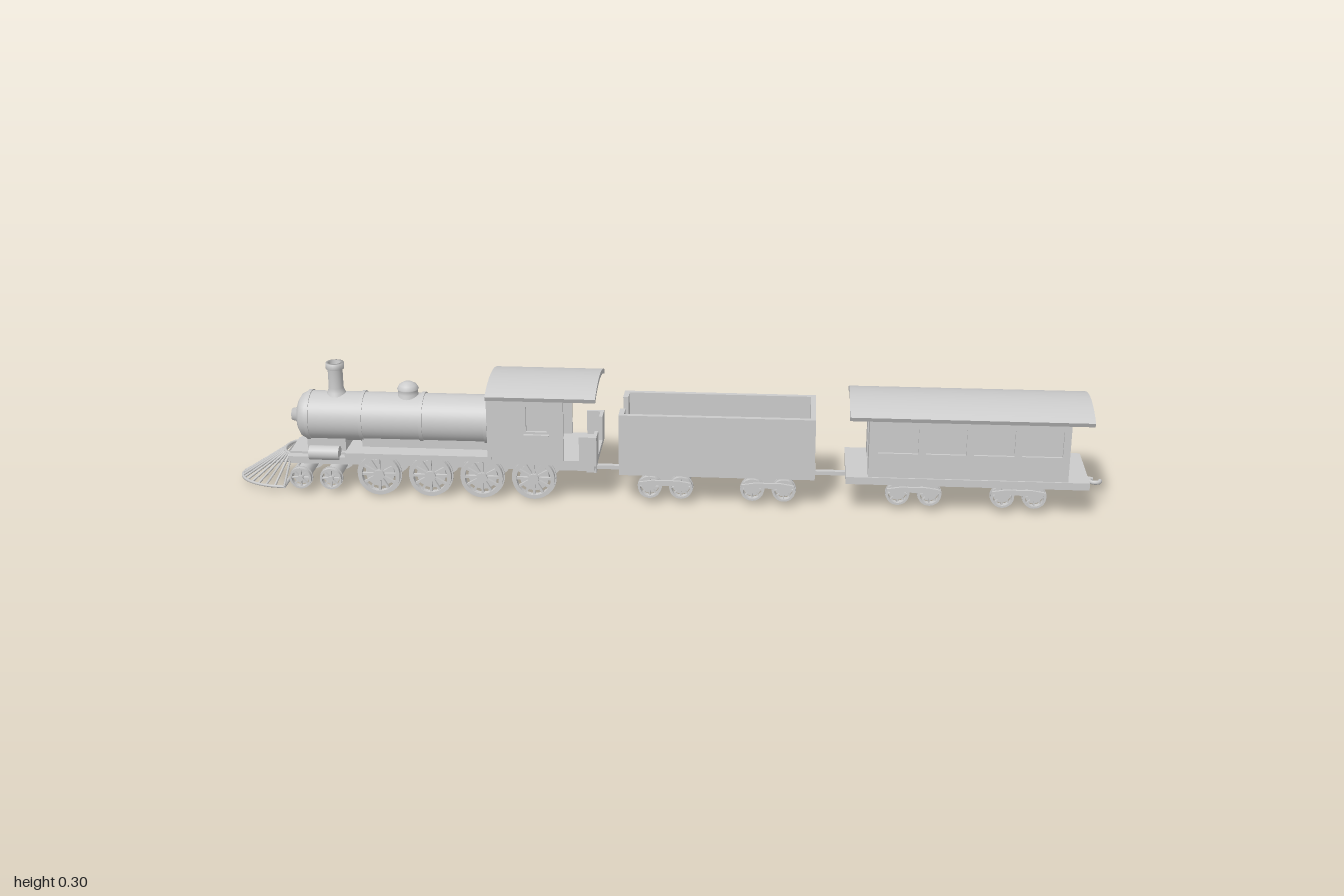
import * as THREE from 'three';

const mat = new THREE.MeshStandardMaterial({ color: 0xcccccc, side: THREE.DoubleSide });
const V = (x, y, z) => new THREE.Vector3(x, y, z);

function add(parent, name, geo, x = 0, y = 0, z = 0) {
  const m = new THREE.Mesh(geo, mat);
  m.name = name;
  m.position.set(x, y, z);
  parent.add(m);
  return m;
}

// Box given by its min and max on every axis
function box(parent, name, x0, x1, y0, y1, z0, z1) {
  return add(parent, name, new THREE.BoxGeometry(x1 - x0, y1 - y0, z1 - z0),
    (x0 + x1) / 2, (y0 + y1) / 2, (z0 + z1) / 2);
}

function rod(parent, name, a, b, r) {
  const d = b.clone().sub(a);
  const m = add(parent, name, new THREE.CylinderGeometry(r, r, d.length(), 6));
  m.position.copy(a).add(b).multiplyScalar(0.5);
  m.quaternion.setFromUnitVectors(V(0, 1, 0), d.normalize());
  return m;
}

function rectPath(x0, x1, y0, y1, P = THREE.Path) {
  return new P([[x0, y0], [x1, y0], [x1, y1], [x0, y1]].map(p => new THREE.Vector2(...p)));
}

const extrude = (shape, depth) =>
  new THREE.ExtrudeGeometry(shape, { depth, bevelEnabled: false, curveSegments: 20 });

// Cross-section in (z, y), swept along +x
const sweepX = (shape, length) => extrude(shape, length).rotateY(Math.PI / 2);

// Arched roof slab between x0 and x1
function archRoof(parent, name, x0, x1, y, w, rise, t) {
  const R = (w * w + rise * rise) / (2 * rise), a = Math.asin(w / R), cy = y + rise - R;
  const s = new THREE.Shape();
  s.absarc(0, cy, R, Math.PI / 2 - a, Math.PI / 2 + a, false);
  s.absarc(0, cy, R + t, Math.PI / 2 + a, Math.PI / 2 - a, true);
  add(parent, name, sweepX(s, x1 - x0), x0);
}

// End wall with a curved top and an optional doorway
function endWall(parent, name, x, t, w, y0, y1, rise, door) {
  const s = new THREE.Shape();
  s.moveTo(-w, y0);
  if (door) {
    s.lineTo(-door.w, y0); s.lineTo(-door.w, door.top);
    s.lineTo(door.w, door.top); s.lineTo(door.w, y0);
  }
  s.lineTo(w, y0);
  s.lineTo(w, y1);
  s.quadraticCurveTo(0, y1 + 2 * rise, -w, y1);
  s.closePath();
  add(parent, name, sweepX(s, t), x);
}

// Spoked wheel facing outward along +z, with an inner flange
function wheel(r, spokes) {
  const g = new THREE.Group();
  g.name = 'wheel';
  const ring = (ro, ri) => {
    const s = new THREE.Shape().absarc(0, 0, ro, 0, Math.PI * 2);
    s.holes.push(new THREE.Path().absarc(0, 0, ri, 0, Math.PI * 2, true));
    return s;
  };
  add(g, 'rim', extrude(ring(r * 0.94, r * 0.76), 0.012), 0, 0, 0.002);
  add(g, 'flange', extrude(ring(r, r * 0.76), 0.003));
  add(g, 'hub', new THREE.CylinderGeometry(r * 0.24, r * 0.24, 0.016, 16).rotateX(Math.PI / 2), 0, 0, 0.008);
  for (let i = 0; i < spokes; i++) {
    const a = i / spokes * Math.PI * 2;
    add(g, 'spoke', new THREE.BoxGeometry(r * 0.65, r * 0.11, 0.007),
      Math.cos(a) * r * 0.5, Math.sin(a) * r * 0.5, 0.007).rotation.z = a;
  }
  return g;
}

function wheelset(parent, x, y, r, axleR, spokes) {
  for (const s of [1, -1]) {
    const w = wheel(r, spokes);
    w.position.set(x, y, s * 0.058);
    if (s < 0) w.rotation.y = Math.PI;
    parent.add(w);
  }
  add(parent, 'axle', new THREE.CylinderGeometry(axleR, axleR, 0.114, 16).rotateX(Math.PI / 2), x, y, 0);
}

// Four-wheel truck
function bogie(parent, x) {
  const g = new THREE.Group();
  g.name = 'bogie';
  for (const dx of [-0.036, 0.036]) wheelset(g, x + dx, 0.04, 0.028, 0.02, 8);
  box(g, 'bolster', x - 0.025, x + 0.025, 0.05, 0.078, -0.05, 0.05);
  const s = new THREE.Shape([[-0.06, 0.055], [-0.045, 0.035], [-0.028, 0.035], [-0.02, 0.048], [0.02, 0.048],
    [0.028, 0.035], [0.045, 0.035], [0.06, 0.055], [0.03, 0.06], [-0.03, 0.06]].map(p => new THREE.Vector2(...p)));
  for (const z of [0.074, -0.08]) add(g, 'sideFrame', extrude(s, 0.006), x, 0, z);
  parent.add(g);
}

function coupler(parent, x0, x1) {
  box(parent, 'drawbar', x0, x1, 0.055, 0.064, -0.006, 0.006);
  for (const x of [x0, x1]) box(parent, 'couplerPocket', x - 0.012, x + 0.012, 0.05, 0.075, -0.018, 0.018);
}

function locomotive() {
  const g = new THREE.Group();
  g.name = 'locomotive';
  // Boiler with domed front, bands, chimney and dome
  const profile = [[0, 0.5], [0.014, 0.5], [0.017, 0.487], [0.036, 0.482], [0.05, 0.474], [0.057, 0.46], [0.057, 0]];
  add(g, 'boiler', new THREE.LatheGeometry(profile.map(p => new THREE.Vector2(...p)), 40).rotateZ(Math.PI / 2), -0.37, 0.17, 0);
  for (const x of [-0.825, -0.7, -0.56, -0.41])
    add(g, 'boilerBand', new THREE.CylinderGeometry(0.0595, 0.0595, 0.008, 40).rotateZ(Math.PI / 2), x, 0.17, 0);
  const lathe = (name, pts, x) =>
    add(g, name, new THREE.LatheGeometry(pts.map(p => new THREE.Vector2(...p)), 28), x, 0, 0);
  lathe('chimney', [[0.027, 0.215], [0.02, 0.23], [0.017, 0.24], [0.017, 0.284], [0.021, 0.286], [0.021, 0.3],
    [0.014, 0.3], [0.013, 0.24], [0, 0.24]], -0.763);
  lathe('steamDome', [[0.028, 0.215], [0.023, 0.23], [0.023, 0.238], [0.025, 0.241], [0.02, 0.25], [0.01, 0.256], [0, 0.257]], -0.595);
  // Chassis, running boards and front saddle
  box(g, 'mainFrame', -0.87, -0.16, 0.065, 0.095, -0.045, 0.045);
  box(g, 'saddle', -0.83, -0.74, 0.09, 0.14, -0.035, 0.035);
  box(g, 'frontDeck', -0.87, -0.72, 0.078, 0.09, -0.065, 0.065);
  box(g, 'firebox', -0.7, -0.38, 0.09, 0.15, -0.04, 0.04);
  const valance = new THREE.Shape([[-0.73, 0.085], [-0.715, 0.085], [-0.69, 0.1], [-0.39, 0.1], [-0.39, 0.112], [-0.73, 0.112]]
    .map(p => new THREE.Vector2(...p)));
  for (const s of [1, -1]) {
    add(g, 'runningBoard', extrude(valance, 0.044), 0, 0, s > 0 ? 0.048 : -0.092);
    add(g, 'pistonCylinder', new THREE.CylinderGeometry(0.017, 0.017, 0.07, 20).rotateZ(Math.PI / 2), -0.785, 0.098, s * 0.057);
    // Cab side with window and rear bunker panel
    const side = rectPath(-0.4, -0.225, 0.1, 0.258, THREE.Shape);
    side.holes.push(rectPath(-0.31, -0.262, 0.175, 0.235));
    add(g, 'cabSide', extrude(side, 0.008), 0, 0, s > 0 ? 0.082 : -0.09);
    box(g, 'windowSill', -0.315, -0.257, 0.163, 0.17, s * 0.093 - 0.005, s * 0.093 + 0.005);
    box(g, 'rearPanel', -0.19, -0.15, 0.1, 0.165, s * 0.086 - 0.004, s * 0.086 + 0.004);
    box(g, 'rearReturn', -0.158, -0.15, 0.1, 0.165, s * 0.068 - 0.022, s * 0.068 + 0.022);
  }
  box(g, 'cabFloor', -0.4, -0.15, 0.095, 0.107, -0.09, 0.09);
  endWall(g, 'cabFront', -0.4, 0.008, 0.088, 0.1, 0.254, 0.018);
  archRoof(g, 'cabRoof', -0.4, -0.15, 0.252, 0.101, 0.021, 0.011);
  // Wheels
  for (let i = 0; i < 4; i++) wheelset(g, -0.658 + i * 0.12, 0.052, 0.052, 0.034, 12);
  for (const x of [-0.843, -0.772]) wheelset(g, x, 0.038, 0.027, 0.018, 8);
  // Cowcatcher fan
  const fan = new THREE.Group();
  fan.name = 'cowcatcher';
  const top = [], low = [];
  for (let i = 0; i <= 16; i++) {
    const a = (i / 16 - 0.5) * Math.PI;
    top.push(V(-0.868 - 0.022 * Math.cos(a), 0.088, 0.04 * Math.sin(a)));
    low.push(V(-0.88 - 0.117 * Math.cos(a), 0.02, 0.082 * Math.sin(a)));
    rod(fan, 'bar', top[i], low[i], 0.0028);
  }
  for (const pts of [top, low])
    add(fan, 'rim', new THREE.TubeGeometry(new THREE.CatmullRomCurve3(pts), 40, 0.0035, 6));
  rod(fan, 'backBar', low[0], low[16], 0.004);
  g.add(fan);
  return g;
}

function tender() {
  const g = new THREE.Group();
  g.name = 'tender';
  const x0 = -0.1, x1 = 0.345, w = 0.083, t = 0.012;
  box(g, 'floor', x0, x1, 0.073, 0.088, -w, w);
  box(g, 'rearWall', x1 - t, x1, 0.088, 0.218, -w, w);
  for (const s of [1, -1]) {
    box(g, 'sideWall', x0, x1, 0.088, 0.218, s * (w - t / 2) - t / 2, s * (w - t / 2) + t / 2);
    box(g, 'frontPost', x0, x0 + t, 0.088, 0.218, s * 0.058 - 0.02, s * 0.058 + 0.02);
  }
  for (const x of [0.005, 0.24]) bogie(g, x);
  return g;
}

function passengerCar() {
  const g = new THREE.Group();
  g.name = 'passengerCar';
  const x0 = 0.465, x1 = 0.912, w = 0.088;
  box(g, 'floor', 0.415, 0.96, 0.07, 0.087, -0.092, 0.092);
  // Window walls with recessed panes
  for (const s of [1, -1]) {
    const side = rectPath(x0, x1, 0.086, 0.23, THREE.Shape);
    for (let i = 0; i < 4; i++) {
      const c = 0.53 + i * 0.107;
      side.holes.push(rectPath(c - 0.045, c + 0.045, 0.145, 0.207));
      box(g, 'windowPane', c - 0.046, c + 0.046, 0.144, 0.208, s * 0.081 - 0.001, s * 0.081 + 0.001);
    }
    add(g, 'sideWall', extrude(side, 0.008), 0, 0, s > 0 ? w - 0.008 : -w);
  }
  for (const x of [x0, x1 - 0.01])
    endWall(g, 'endWall', x, 0.01, w, 0.086, 0.228, 0.016, { w: 0.035, top: 0.205 });
  archRoof(g, 'roof', 0.42, 0.96, 0.225, 0.1, 0.022, 0.011);
  for (const x of [0.57, 0.806]) bogie(g, x);
  // Rear hook
  box(g, 'hookBar', 0.93, 0.975, 0.055, 0.065, -0.006, 0.006);
  box(g, 'hookPocket', 0.925, 0.95, 0.05, 0.072, -0.02, 0.02);
  add(g, 'hook', new THREE.TorusGeometry(0.012, 0.005, 8, 16, Math.PI * 1.4).rotateX(Math.PI / 2), 0.983, 0.06, 0.008);
  return g;
}

export function createModel() {
  const train = new THREE.Group();
  train.name = 'train';
  train.add(locomotive(), tender(), passengerCar());
  coupler(train, -0.17, -0.09);
  coupler(train, 0.335, 0.43);
  return train;
}
